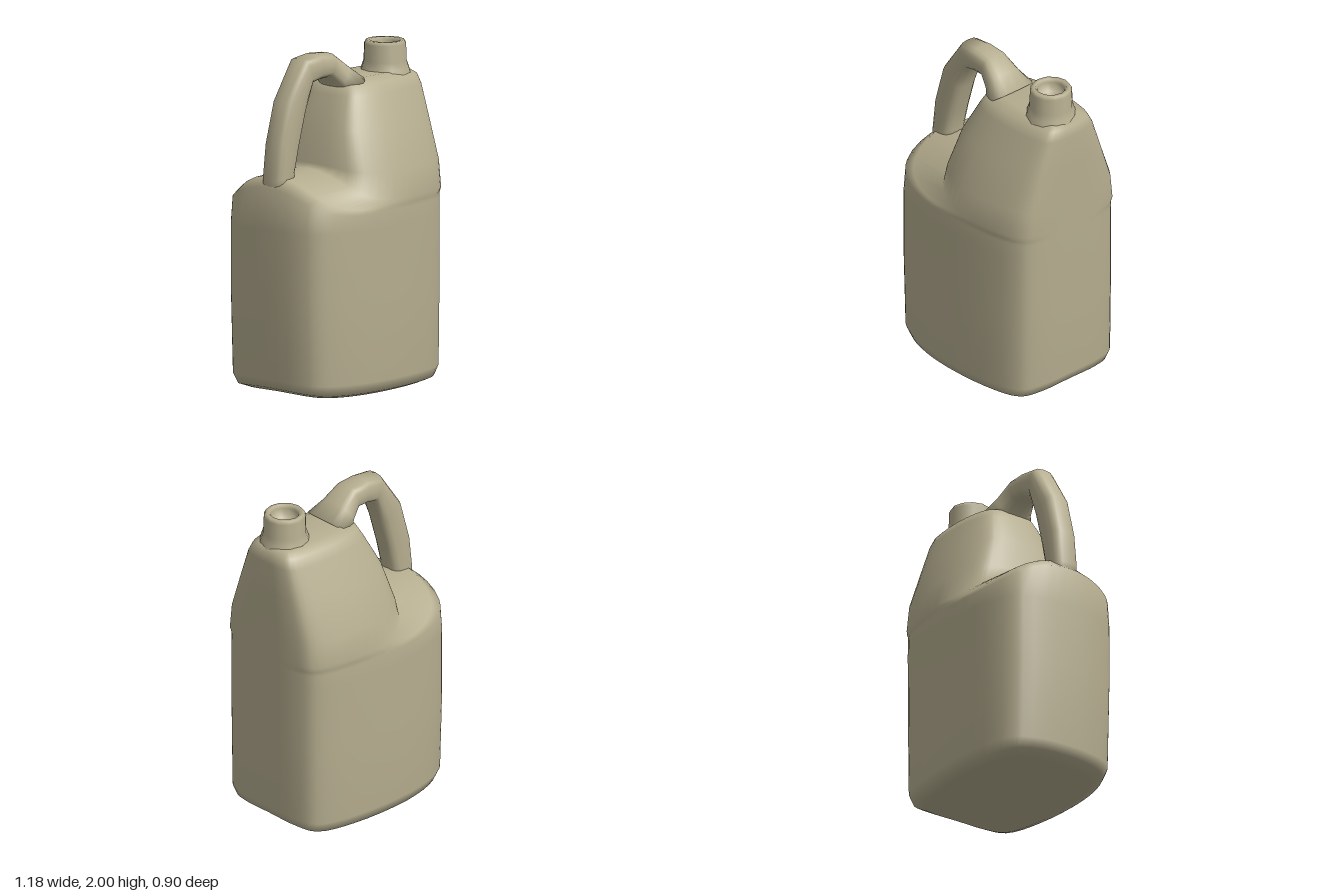
import * as THREE from 'three';

// Joins rings of points into one smooth closed skin, capped at both ends.
function loft(rings) {
  const n = rings[0].length;
  const pos = [], index = [];
  rings.forEach(r => r.forEach(p => pos.push(p.x, p.y, p.z)));
  for (let i = 0; i < rings.length - 1; i++) {
    for (let j = 0; j < n; j++) {
      const k = (j + 1) % n;
      const a = i * n + j, b = i * n + k, c = a + n, d = b + n;
      index.push(a, c, b, b, c, d);
    }
  }
  [0, rings.length - 1].forEach((i, end) => {
    const mid = new THREE.Vector3();
    rings[i].forEach(p => mid.addScaledVector(p, 1 / n));
    const m = pos.length / 3;
    pos.push(mid.x, mid.y, mid.z);
    for (let j = 0; j < n; j++) {
      const a = i * n + j, b = i * n + (j + 1) % n;
      if (end) index.push(a, m, b);
      else index.push(a, b, m);
    }
  });
  const g = new THREE.BufferGeometry();
  g.setAttribute('position', new THREE.Float32BufferAttribute(pos, 3));
  g.setIndex(index);
  g.computeVertexNormals();
  return g;
}

// Container: a rounded plan, stepped in on the handle side above the shoulder.
function bodyGeometry() {
  const half = [[0.98, 0.5], [0.88, 0.8], [0.45, 0.96], [-0.3, 1], [-0.77, 0.86], [-0.93, 0.67]];
  const outline = [[1, 0], ...half, [-1, 0], ...half.slice().reverse().map(([u, v]) => [u, -v])];
  const curve = new THREE.CatmullRomCurve3(outline.map(([u, v]) => new THREE.Vector3(u, 0, v)), true);
  const plan = curve.getPoints(56).slice(0, -1);
  // y, ridge lift on the handle side, rise at both ends, x of handle side, x of spout side, half depth
  const levels = [
    [0.005, 0, 0.02, -0.48, 0.51, 0.37],
    [0.025, 0, 0.03, -0.55, 0.56, 0.42],
    [0.09, 0, 0.02, -0.575, 0.58, 0.445],
    [0.6, 0, 0, -0.592, 0.588, 0.447],
    [1.0, 0, 0, -0.592, 0.59, 0.447],
    [1.09, 0.16, 0, -0.58, 0.59, 0.443],
    [1.115, 0.195, 0, -0.51, 0.59, 0.438],
    [1.15, 0.17, 0, -0.23, 0.59, 0.435],
    [1.31, 0.04, 0, -0.215, 0.59, 0.412],
    [1.55, 0, 0, -0.17, 0.59, 0.312],
    [1.74, 0, 0, -0.08, 0.587, 0.23],
    [1.8, 0, 0, -0.05, 0.575, 0.195],
    [1.83, 0, 0, 0.02, 0.54, 0.13],
  ];
  return loft(levels.map(([y, ridge, rise, xl, xr, depth]) => plan.map(({ x: u, z: v }) => new THREE.Vector3(
    (xl + xr) / 2 + u * (xr - xl) / 2,
    y + (1 - Math.min(1, v * v)) * (ridge * Math.max(0, -u) + rise * Math.abs(u)),
    v * depth))));
}

// Handle: rounded sections between an outer and an inner edge.
function handleGeometry() {
  // outer x, outer y, inner x, inner y, half width
  const stations = [
    [-0.572, 1.19, -0.4, 1.24, 0.085],
    [-0.572, 1.29, -0.41, 1.33, 0.085],
    [-0.55, 1.5, -0.37, 1.48, 0.085],
    [-0.48, 1.75, -0.315, 1.67, 0.085],
    [-0.32, 1.985, -0.26, 1.83, 0.085],
    [-0.2, 2.0, -0.19, 1.845, 0.085],
    [-0.08, 1.99, -0.12, 1.85, 0.09],
    [0.02, 1.915, -0.06, 1.79, 0.115],
    [0.12, 1.84, -0.03, 1.74, 0.16],
  ];
  const sides = 16;
  const round = t => Math.sign(t) * Math.abs(t) ** 0.7;
  return loft(stations.map(([ox, oy, ix, iy, w]) => Array.from({ length: sides }, (_, j) => {
    const a = j / sides * Math.PI * 2;
    const s = round(Math.cos(a)) / 2;
    return new THREE.Vector3(
      (ox + ix) / 2 + (ox - ix) * s,
      (oy + iy) / 2 + (oy - iy) * s,
      0.015 - round(Math.sin(a)) * w);
  })));
}

export function createModel() {
  const model = new THREE.Group();
  model.name = 'jug';
  const plastic = new THREE.MeshStandardMaterial({ color: 0xb5ad8f });
  plastic.name = 'beige plastic';

  const add = (name, geometry) => {
    const mesh = new THREE.Mesh(geometry, plastic);
    mesh.name = name;
    model.add(mesh);
    return mesh;
  };

  add('body', bodyGeometry());
  add('handle', handleGeometry());

  // Open neck with a shallow well
  const profile = [[0.155, 1.8], [0.143, 1.84], [0.13, 1.88], [0.126, 1.98], [0.115, 2.0],
    [0.092, 2.0], [0.082, 1.98], [0.08, 1.92], [0, 1.91]];
  const neck = add('neck', new THREE.LatheGeometry(profile.map(([r, y]) => new THREE.Vector2(r, y)), 12));
  neck.position.set(0.412, 0, 0.02);

  return model;
}
